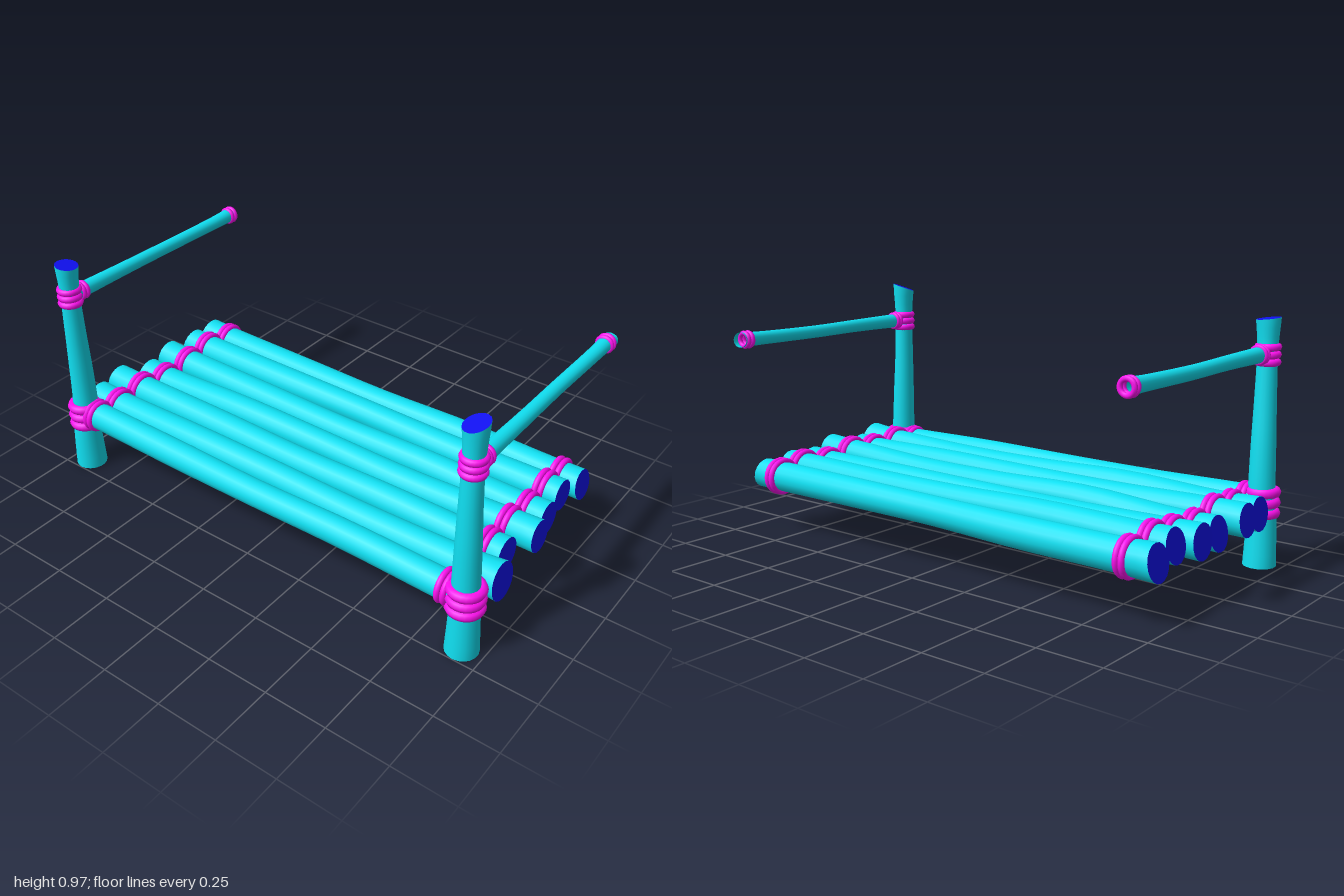
import * as THREE from 'three';

const wood = new THREE.MeshStandardMaterial({ color: 0x10e0f2, side: THREE.DoubleSide });
const cutWood = new THREE.MeshStandardMaterial({ color: 0x1010ee });
const rope = new THREE.MeshStandardMaterial({ color: 0xff10f0 });

const SIDES = 18, STEPS = 20;
const unit = (i) => new THREE.Vector3().setComponent(i % 3, 1);

// Centre and radius along a limb; pts are [x, y, z, radius] ordered along +axis
function limbCurve(pts) {
  return {
    centre: new THREE.CatmullRomCurve3(pts.map((p) => new THREE.Vector3(p[0], p[1], p[2]))),
    radius: new THREE.CatmullRomCurve3(pts.map((p, i) => new THREE.Vector3(p[3], i, 0))),
  };
}

// Cross-section loop square to the axis, sheared by slant [u, v] for angled saw cuts
function loop(axis, centre, r, slant) {
  const a = unit(axis), u = unit(axis + 1), v = unit(axis + 2), out = [];
  for (let k = 0; k <= SIDES; k++) {
    const t = (k / SIDES) * Math.PI * 2, c = Math.cos(t), s = Math.sin(t);
    out.push(centre.clone().addScaledVector(u, r * c).addScaledVector(v, r * s)
      .addScaledVector(a, slant[0] * c + slant[1] * s));
  }
  return out;
}

// Flat sawn face
function cap(name, ring, centre, flip) {
  const pts = [centre, ...ring], index = [];
  for (let k = 1; k <= SIDES; k++) index.push(0, flip ? k + 1 : k, flip ? k : k + 1);
  const g = new THREE.BufferGeometry().setFromPoints(pts);
  g.setIndex(index);
  g.computeVertexNormals();
  const m = new THREE.Mesh(g, cutWood);
  m.name = name;
  return m;
}

// Irregular wooden pole with optional sawn ends
function limb(name, axis, pts, { slant0 = [0, 0], slant1 = [0, 0], caps = [true, true] } = {}) {
  const group = new THREE.Group();
  group.name = name;
  const curve = limbCurve(pts), verts = [], index = [], rings = [];
  for (let i = 0; i <= STEPS; i++) {
    const t = i / STEPS;
    const slant = i === 0 ? slant0 : i === STEPS ? slant1 : [0, 0];
    rings.push(loop(axis, curve.centre.getPoint(t), curve.radius.getPoint(t).x, slant));
    verts.push(...rings[i]);
  }
  const w = SIDES + 1;
  for (let i = 0; i < STEPS; i++) for (let k = 0; k < SIDES; k++) {
    const a = i * w + k, b = a + 1, c = a + w, d = c + 1;
    index.push(a, b, d, a, d, c);
  }
  const g = new THREE.BufferGeometry().setFromPoints(verts);
  g.setIndex(index);
  g.computeVertexNormals();
  // Share normals across the seam
  const n = g.attributes.normal;
  for (let i = 0; i <= STEPS; i++) {
    const a = i * w, b = a + SIDES;
    const v = new THREE.Vector3().fromBufferAttribute(n, a)
      .add(new THREE.Vector3().fromBufferAttribute(n, b)).normalize();
    n.setXYZ(a, v.x, v.y, v.z);
    n.setXYZ(b, v.x, v.y, v.z);
  }
  const bark = new THREE.Mesh(g, wood);
  bark.name = 'bark';
  group.add(bark);
  if (caps[0]) group.add(cap('sawnStart', rings[0], curve.centre.getPoint(0), true));
  if (caps[1]) group.add(cap('sawnEnd', rings[STEPS], curve.centre.getPoint(1), false));
  return group;
}

// Stacked rope turns round an axis
function lashing(name, axis, x, y, z, radius, tube, offsets) {
  const group = new THREE.Group();
  group.name = name;
  for (const o of offsets) {
    const ring = new THREE.Mesh(new THREE.TorusGeometry(radius, tube, 8, 24), rope);
    ring.name = 'ropeTurn';
    ring.position.set(x, y, z).addScaledVector(unit(axis), o);
    if (axis === 0) ring.rotation.y = Math.PI / 2;
    if (axis === 1) ring.rotation.x = Math.PI / 2;
    group.add(ring);
  }
  group.position.set(0, 0, 0);
  return group;
}

export function createModel() {
  const model = new THREE.Group();
  model.name = 'logPlatform';

  // Deck logs: [x0, x1, y left, y right, z left, z right, r left, r right, end slants]
  const logs = [
    [-0.965, 0.942, 0.225, 0.23, -0.39, -0.373, 0.066, 0.06, 0.012, -0.01],
    [-0.948, 0.92, 0.245, 0.245, -0.252, -0.25, 0.063, 0.062, 0.012, -0.003],
    [-0.975, 0.935, 0.232, 0.23, -0.12, -0.112, 0.066, 0.066, 0.005, -0.003],
    [-0.955, 0.973, 0.222, 0.26, 0.03, 0.03, 0.065, 0.063, 0.012, -0.005],
    [-0.993, 0.92, 0.245, 0.242, 0.17, 0.167, 0.063, 0.067, 0.006, -0.003],
    [-0.973, 0.983, 0.235, 0.256, 0.305, 0.31, 0.065, 0.073, 0.006, -0.008],
    [-0.9, 0.9, 0.25, 0.245, 0.427, 0.432, 0.056, 0.056, 0, 0],
  ];
  logs.forEach(([x0, x1, yl, yr, zl, zr, rl, rr, s0, s1], i) => {
    const front = i === logs.length - 1;
    const rm = front ? 0.052 : 0.056, wob = (i % 2 ? 1 : -1) * 0.004;
    const ym = (yl + yr) / 2, zm = (zl + zr) / 2;
    const yIn = yr + (ym - yr) * 0.3;
    model.add(limb(front ? 'frontLog' : 'deckLog', 0, [
      [x0, yl, zl, rl],
      [-0.8, yl, zl, front ? 0.055 : 0.061],
      [-0.4, ym + wob, zm + wob, rm + 0.004],
      [0, ym, zm - wob, rm],
      [0.4, ym - wob, zm, rm + 0.002],
      [0.8, yIn, zr, front ? 0.055 : 0.06],
      [x1, yr, zr, rr],
    ], { slant0: [s0, 0], slant1: [s1, 0] }));
    const R = front ? 0.056 : 0.065;
    model.add(lashing('logLashingRight', 0, -0.855, yl, zl, R, 0.012, [-0.011, 0.011]));
    model.add(lashing('logLashingLeft', 0, 0.843, yIn, zr, R, 0.012, [-0.012, 0.012]));
  });

  // Front posts and the rails running back from them
  for (const s of [-1, 1]) {
    const left = s > 0, side = left ? 'Left' : 'Right';
    const top = left ? 0.95 : 0.93, bow = left ? 0 : -0.008;
    model.add(limb('post' + side, 1, [
      [s * 0.916, 0, 0.435, 0.063],
      [s * 0.916, 0.16, 0.437, 0.056],
      [s * 0.914, 0.32, 0.44 + bow, 0.05],
      [s * 0.912, 0.48, 0.443 + bow, 0.046],
      [s * 0.909, 0.64, 0.445 + bow / 2, 0.041],
      [s * 0.907, 0.82, 0.445, 0.038],
      [s * 0.906, top, 0.445, 0.046],
    ], { slant1: left ? [-0.012, 0.011] : [0.002, -0.005] }));
    model.add(lashing('lowerLashing' + side, 1, s * 0.916, 0.245, 0.438,
      left ? 0.054 : 0.048, 0.02, [-0.04, 0, 0.04]));
    model.add(lashing('upperLashing' + side, 1, s * 0.908, 0.798, 0.445,
      0.036, 0.0145, [-0.028, 0, 0.028]));

    const x = left ? 0.912 : -0.902, end = left ? -0.502 : -0.498;
    model.add(limb('rail' + side, 2, [
      [x, 0.8, end, 0.03],
      [x, 0.798, -0.38, 0.027],
      [x - 0.003, 0.797, -0.1, 0.026],
      [x, 0.8, 0.15, 0.027],
      [x, 0.801, 0.44, 0.031],
    ], { slant0: left ? [-0.008, 0.002] : [0.003, 0], caps: [false, false] }));
    model.add(lashing('railFrontLashing' + side, 2, x, 0.801, 0.39, 0.029, 0.01, [-0.008, 0.01]));
    model.add(lashing('railBackLashing' + side, 2, x, 0.799, left ? -0.47 : -0.488,
      0.027, 0.01, [-0.01, 0.01]));
  }
  return model;
}
